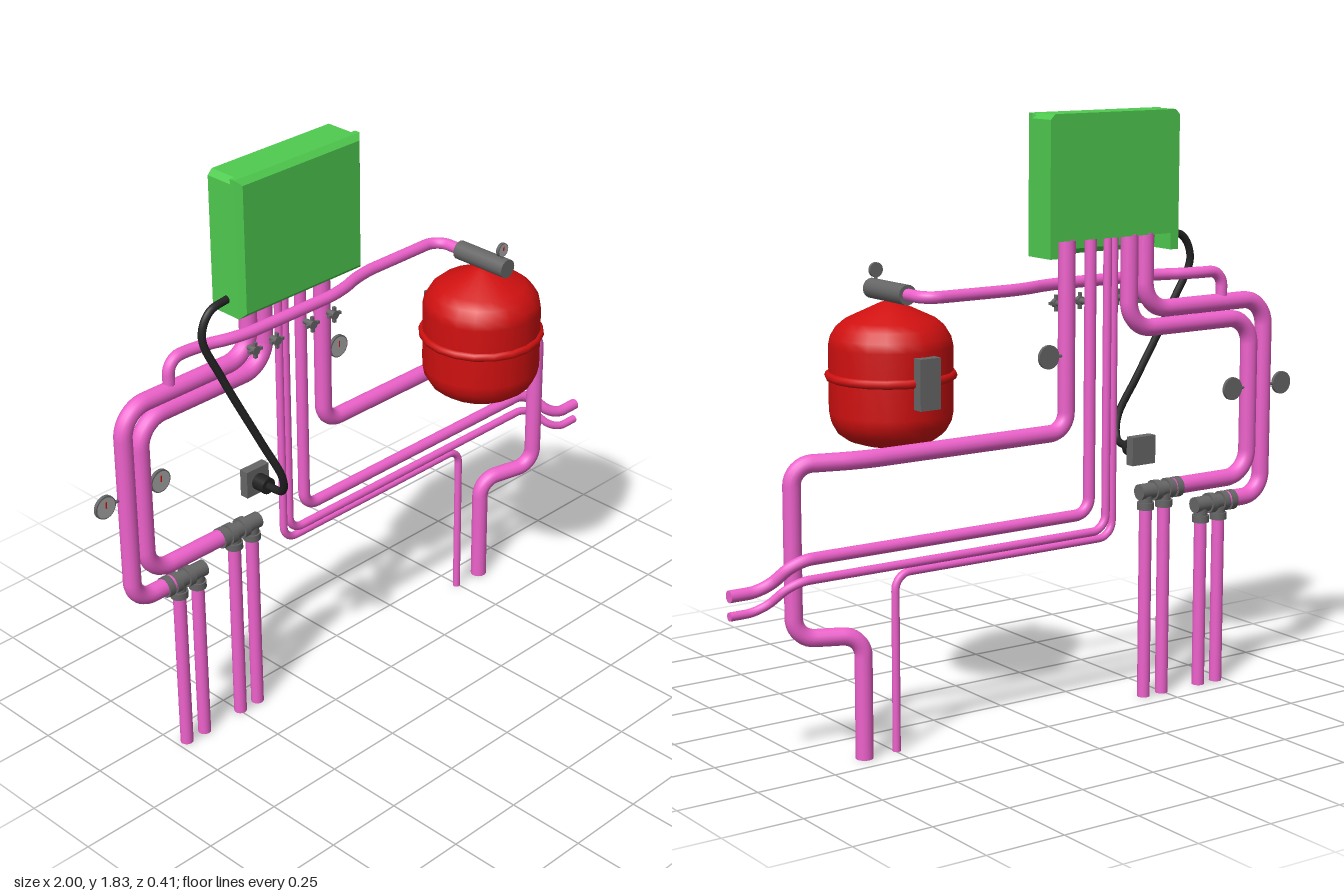
import * as THREE from 'three';

const V = (x, y, z) => new THREE.Vector3(x, y, z);
const mat = (color, flatShading = false) =>
  new THREE.MeshStandardMaterial({ color, flatShading, side: THREE.DoubleSide });
const PINK = mat(0xee62cc), GREEN = mat(0x4fcb4f, true), RED = mat(0xd01010),
  GREY = mat(0x666666), PALE = mat(0xaaaaaa), BLACK = mat(0x222222);
const WALL = -0.175;

export function createModel() {
  const model = new THREE.Group();

  const add = (name, geo, material, x = 0, y = 0, z = 0, parent = model) => {
    const mesh = new THREE.Mesh(geo, material);
    mesh.name = name;
    mesh.position.set(x, y, z);
    parent.add(mesh);
    return mesh;
  };

  // Cylinder along a chosen axis, centred on its position
  const rod = (name, axis, r, len, material, x, y, z, parent = model, sides = 16) => {
    const geo = new THREE.CylinderGeometry(r, r, len, sides);
    if (axis === 'x') geo.rotateZ(Math.PI / 2);
    if (axis === 'z') geo.rotateX(Math.PI / 2);
    return add(name, geo, material, x, y, z, parent);
  };

  // Pipe through corner points with rounded bends and closed ends
  const pipe = (name, r, bend, corners) => {
    const pts = corners.map(([x, y, z = WALL]) => V(x, y, z));
    const path = new THREE.CurvePath();
    let from = pts[0];
    for (let i = 1; i < pts.length - 1; i++) {
      const [a, p, b] = [pts[i - 1], pts[i], pts[i + 1]];
      const d = Math.min(bend, a.distanceTo(p) * 0.48, b.distanceTo(p) * 0.48);
      const p0 = p.clone().add(a.clone().sub(p).setLength(d));
      const p1 = p.clone().add(b.clone().sub(p).setLength(d));
      const k = 0.55;
      path.add(new THREE.LineCurve3(from, p0));
      path.add(new THREE.CubicBezierCurve3(p0, p0.clone().lerp(p, k), p1.clone().lerp(p, k), p1));
      from = p1;
    }
    const last = pts[pts.length - 1];
    path.add(new THREE.LineCurve3(from, last));
    const group = new THREE.Group();
    group.name = name;
    model.add(group);
    add(name + 'Tube', new THREE.TubeGeometry(path, 220, r, 14), PINK, 0, 0, 0, group);
    for (const [end, next] of [[pts[0], pts[1]], [last, pts[pts.length - 2]]]) {
      const cap = add(name + 'End', new THREE.CircleGeometry(r, 14), PINK, end.x, end.y, end.z, group);
      cap.quaternion.setFromUnitVectors(V(0, 0, 1), end.clone().sub(next).normalize());
    }
  };

  // Boiler housing: chamfered front cover and a back body notched for the pipes
  const outline = (pts) => new THREE.Shape(pts.map(([x, y]) => new THREE.Vector2(x, y)));
  const [L, R, B, T] = [-0.518, -0.036, 1.405, 1.828], c = 0.016;
  const cover = new THREE.ExtrudeGeometry(
    outline([[L + c, B + c], [R - c, B + c], [R - c, T - c], [L + c, T - c]]),
    { depth: 0.018, bevelThickness: c, bevelSize: c, bevelSegments: 1 });
  add('boilerCover', cover, GREEN, 0, 0, -0.109);
  const body = new THREE.ExtrudeGeometry(
    outline([[L, B], [L + 0.03, B], [L + 0.03, B + 0.05], [R - 0.03, B + 0.05],
      [R - 0.03, B], [R, B], [R, T - c], [R - c, T], [L + c, T], [L, T - c]]),
    { depth: 0.091, bevelEnabled: false });
  add('boilerBody', body, GREEN, 0, 0, -0.2);

  // Pipes hanging from the housing
  const top = 1.46;
  pipe('outerHeatingPipe', 0.027, 0.085,
    [[-0.41, top], [-0.41, 1.223], [-0.89, 1.223], [-0.89, 0.59], [-0.74, 0.59]]);
  pipe('innerHeatingPipe', 0.027, 0.085,
    [[-0.35, top], [-0.35, 1.168], [-0.832, 1.168], [-0.832, 0.66], [-0.53, 0.66]]);
  pipe('gasPipe', 0.012, 0.05,
    [[-0.292, top], [-0.292, 0.533], [0.495, 0.533], [0.495, 0]]);
  pipe('coldWaterPipe', 0.013, 0.05,
    [[-0.267, top], [-0.267, 0.557], [0.83, 0.557], [0.9, 0.47, -0.108], [1, 0.47, -0.108]]);
  pipe('hotWaterPipe', 0.018, 0.05,
    [[-0.203, top], [-0.203, 0.617], [0.82, 0.617], [0.89, 0.528, -0.108], [1, 0.528, -0.108]]);
  pipe('drainPipe', 0.026, 0.06,
    [[-0.115, top], [-0.115, 0.88], [0.6, 0.88], [0.8, 0.88, -0.118], [0.8, 0.375, -0.118],
      [0.605, 0.368], [0.605, 0]]);
  pipe('expansionPipe', 0.018, 0.06,
    [[-0.715, 1.223], [-0.715, 1.322], [-0.6, 1.322], [-0.48, 1.322, -0.133], [-0.08, 1.322, -0.133],
      [0.05, 1.322, -0.178], [0.385, 1.322, -0.178], [0.385, 1.322, -0.07]]);

  // Manifolds, each feeding two floor pipes
  for (const [x, y] of [[-0.698, 0.587], [-0.476, 0.657]]) {
    const manifold = new THREE.Group();
    manifold.name = 'manifold';
    manifold.position.set(x, y, WALL);
    model.add(manifold);
    rod('manifoldBody', 'x', 0.025, 0.158, GREY, 0, 0, 0, manifold);
    for (const dx of [-0.066, -0.035, 0.015])
      rod('manifoldCollar', 'x', 0.032, 0.022, GREY, dx, 0, 0, manifold);
    for (const dx of [-0.019, 0.053]) {
      rod('outletNeck', 'y', 0.022, 0.05, GREY, dx, -0.025, 0, manifold);
      rod('outletCollar', 'y', 0.027, 0.022, GREY, dx, -0.045, 0, manifold);
      rod('floorPipe', 'y', 0.02, y - 0.03, PINK, dx, -(y + 0.03) / 2, 0, manifold);
    }
  }

  // Shut-off valves with cross handles
  for (const x of [-0.43, -0.345, -0.202, -0.113]) {
    rod('valveStem', 'z', 0.009, 0.05, GREY, x, 1.263, -0.148);
    rod('valveHub', 'z', 0.014, 0.014, GREY, x, 1.263, -0.125);
    add('valveHandle', new THREE.BoxGeometry(0.05, 0.009, 0.01), GREY, x, 1.263, -0.125);
    add('valveHandle', new THREE.BoxGeometry(0.009, 0.05, 0.01), GREY, x, 1.263, -0.125);
  }

  // Dial gauges on short stems
  const gauge = (x, y, z, r) => {
    rod('gaugeCase', 'z', r, 0.01, GREY, x, y, z, model, 24);
    add('gaugeFace', new THREE.CircleGeometry(r * 0.9, 24), PALE, x, y, z + 0.006);
    add('gaugeNeedle', new THREE.BoxGeometry(0.004, r * 0.55, 0.002), RED, x, y + r * 0.25, z + 0.007);
  };
  for (const [x, y, pipeX] of [[-0.965, 0.945, -0.89], [-0.762, 0.945, -0.832], [-0.045, 1.113, -0.115]]) {
    gauge(x, y, -0.181, 0.036);
    rod('gaugeStem', 'x', 0.005, Math.abs(x - pipeX), GREY, (x + pipeX) / 2, y, -0.181, model, 8);
  }

  // Expansion tank with seam rim, wall bracket and valve
  const [tx, tz] = [0.385, 0.012];
  const profile = [[0, 0.867], [0.05, 0.869], [0.09, 0.875], [0.13, 0.888], [0.16, 0.91], [0.177, 0.94],
    [0.183, 0.97], [0.183, 1.165], [0.177, 1.192], [0.16, 1.22], [0.135, 1.241], [0.03, 1.29], [0, 1.296]];
  add('tank', new THREE.LatheGeometry(profile.map(([r, y]) => new THREE.Vector2(r, y)), 20),
    RED, tx, 0, tz);
  const rim = new THREE.TorusGeometry(0.181, 0.014, 8, 20);
  rim.rotateX(Math.PI / 2);
  add('tankRim', rim, RED, tx, 1.077, tz);
  add('tankBracket', new THREE.BoxGeometry(0.07, 0.15, 0.04), GREY, tx, 1.077, -0.18);
  rod('tankValve', 'z', 0.03, 0.196, GREY, tx, 1.321, 0.016);
  rod('tankGaugeStem', 'y', 0.005, 0.04, GREY, tx, 1.35, 0.09, model, 8);
  gauge(tx, 1.377, 0.09, 0.022);

  // Power cable, plug and wall socket
  const cable = new THREE.CatmullRomCurve3([
    V(-0.51, 1.453, -0.14), V(-0.585, 1.435, -0.14), V(-0.616, 1.366, -0.14), V(-0.57, 1.23, -0.115),
    V(-0.473, 1.0, -0.065), V(-0.42, 0.87, -0.035), V(-0.4, 0.805, -0.06), V(-0.394, 0.792, -0.13)]);
  add('powerCable', new THREE.TubeGeometry(cable, 80, 0.012, 10), BLACK);
  rod('plug', 'z', 0.026, 0.05, BLACK, -0.394, 0.792, -0.15);
  add('socket', new THREE.BoxGeometry(0.088, 0.088, 0.03), GREY, -0.395, 0.793, -0.185);

  return model;
}
